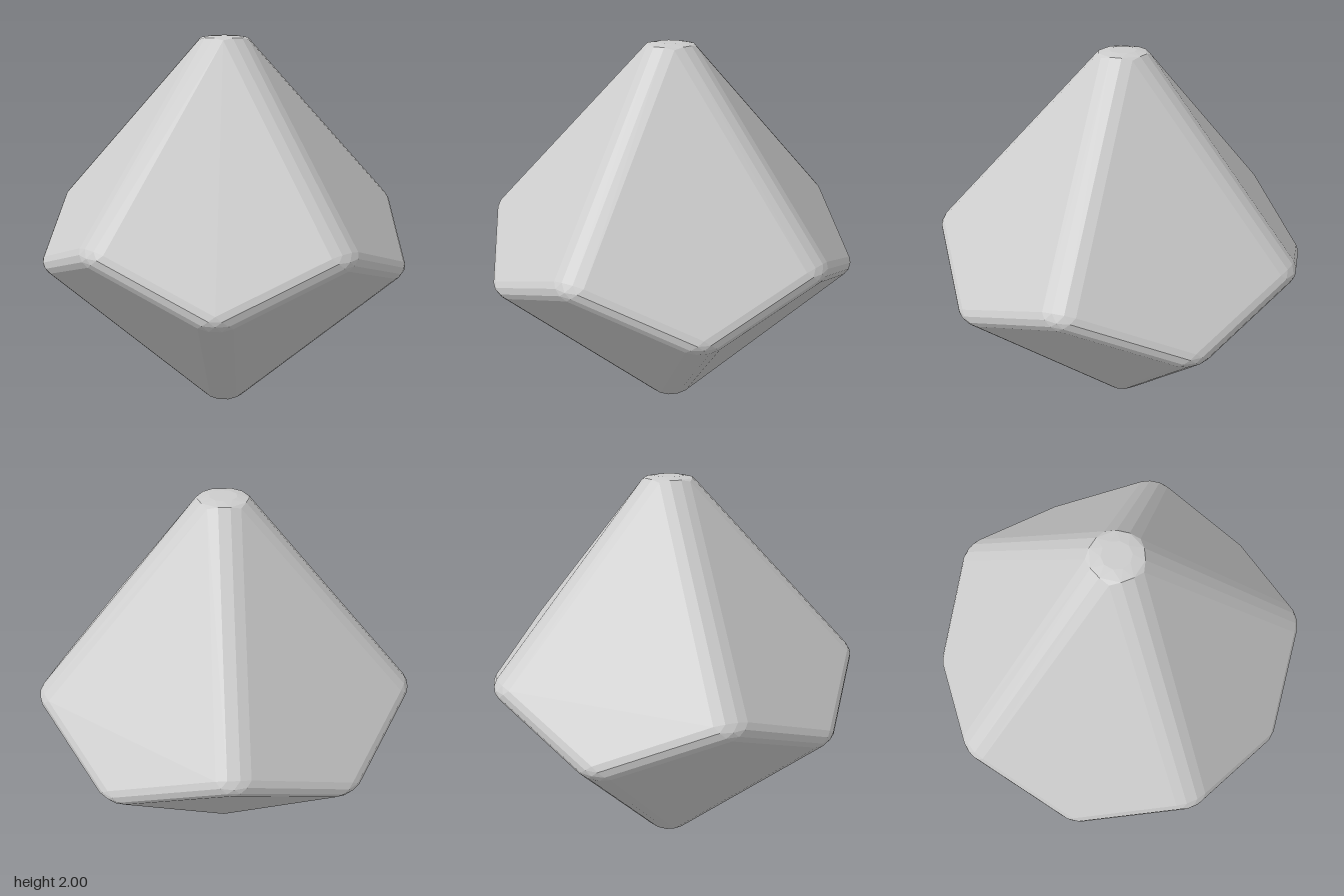
import * as THREE from 'three';
import { ConvexGeometry } from 'three/addons/geometries/ConvexGeometry.js';

const APEX = 1.145, RADIUS = 0.99, SEGMENTS = 3;
const RIDGE_INSET = 0.085, RING_INSET = 0.06; // bevel width on each side of an edge
const TOP = 10, BOTTOM = 11;

const polar = (r, y, k) =>
  new THREE.Vector3(r * Math.sin(k * Math.PI / 5), y, r * Math.cos(k * Math.PI / 5));

function bodyPoints() {
  // Sharp corners: a zigzag ring of ten, then the two apexes
  const c = Math.cos(Math.PI / 5);
  const zig = APEX * (1 - c) / (1 + c);
  const v = [];
  for (let k = 0; k < 10; k++) v.push(polar(RADIUS, k % 2 ? zig : -zig, k));
  v.push(new THREE.Vector3(0, APEX, 0), new THREE.Vector3(0, -APEX, 0));

  // Kite faces, each corner moved inward from its two edges
  const inset = (a, b) => (a >= TOP || b >= TOP ? RIDGE_INSET : RING_INSET);
  const faces = [];
  for (let k = 0; k < 10; k++) {
    const loop = [k % 2 ? BOTTOM : TOP, (k + 9) % 10, k, (k + 1) % 10];
    const corners = {};
    loop.forEach((id, i) => {
      const p = loop[(i + 3) % 4], n = loop[(i + 1) % 4];
      const e1 = v[p].clone().sub(v[id]).normalize();
      const e2 = v[n].clone().sub(v[id]).normalize();
      const s = Math.sin(e1.angleTo(e2));
      corners[id] = v[id].clone()
        .addScaledVector(e1, inset(id, n) / s)
        .addScaledVector(e2, inset(id, p) / s);
    });
    faces.push(corners);
  }
  const points = faces.flatMap((f) => Object.values(f));

  // Rounded edges: an arc between neighbouring faces at both ends of each edge
  const roundEdge = (a, b, f, g) => {
    const edge = new THREE.Line3(v[a], v[b]);
    for (const id of [a, b]) {
      const A = faces[f][id], B = faces[g][id];
      const mid = A.clone().add(B).multiplyScalar(0.5);
      const E = edge.closestPointToPoint(mid, false, new THREE.Vector3());
      for (let i = 1; i < SEGMENTS; i++) {
        const t = (i / SEGMENTS) * Math.PI / 2;
        points.push(E.clone()
          .addScaledVector(A.clone().sub(E), 1 - Math.sin(t))
          .addScaledVector(B.clone().sub(E), 1 - Math.cos(t)));
      }
    }
  };
  for (let j = 0; j < 10; j++) {
    roundEdge(j % 2 ? TOP : BOTTOM, j, (j + 9) % 10, (j + 1) % 10);
    roundEdge(j, (j + 1) % 10, j, (j + 1) % 10);
  }

  // Blunt tips on the ring and small flats on the apexes
  for (let k = 0; k < 10; k++) {
    points.push(polar(0.955, (k % 2 ? 1 : -1) * zig * 0.92, k));
    points.push(polar(0.065, 1, k), polar(0.065, -1, k));
  }
  return points;
}

export function createModel() {
  const group = new THREE.Group();
  group.name = 'tenSidedDie';
  const body = new THREE.Mesh(
    new ConvexGeometry(bodyPoints()),
    new THREE.MeshStandardMaterial({ color: 0xcccccc, flatShading: true })
  );
  body.name = 'bevelledBody';
  body.position.y = 1;
  group.add(body);
  return group;
}
